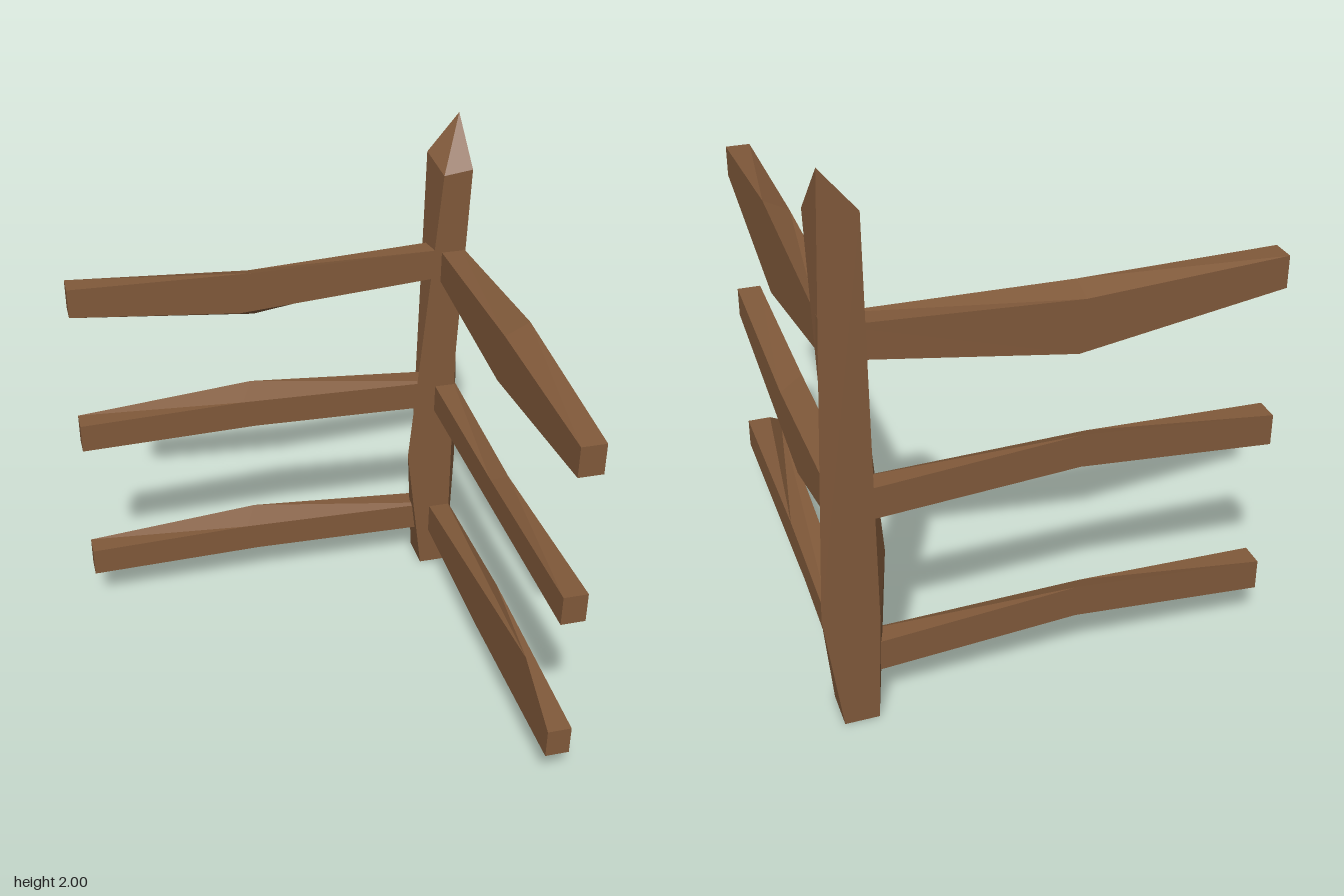
import * as THREE from 'three';

const wood = new THREE.MeshStandardMaterial({ color: 0x80593a });
wood.name = 'brown wood';

// Beam from rings of four corners, each counterclockwise as seen from the last ring's end
function beam(name, rings) {
  const p = [];
  const quad = (a, b, c, d) => p.push(...a, ...b, ...c, ...a, ...c, ...d);
  for (let i = 0; i < rings.length - 1; i++) {
    for (let j = 0; j < 4; j++) {
      const k = (j + 1) % 4;
      quad(rings[i][j], rings[i][k], rings[i + 1][k], rings[i + 1][j]);
    }
  }
  const first = rings[0], last = rings[rings.length - 1];
  quad(first[3], first[2], first[1], first[0]);
  quad(...last);
  const g = new THREE.BufferGeometry();
  g.setAttribute('position', new THREE.Float32BufferAttribute(p, 3));
  g.computeVertexNormals(); // unshared corners keep the facets flat
  const mesh = new THREE.Mesh(g, wood);
  mesh.name = name;
  return mesh;
}

// Rail with square ends; mids = [along, y] for the four bent edges
function rail(name, from, to, y, mids, place) {
  const h = 0.115;
  const end = (t) => [0, 1, 2, 3].map((j) => place(j, t, j < 2 ? y : y + h));
  return beam(name, [end(from), mids.map(([t, my], j) => place(j, t, my)), end(to)]);
}

// Corner order: near bottom, far bottom, far top, near top
const isFar = (j) => j === 1 || j === 2;
const alongX = (j, t, y) => [t, y, isFar(j) ? -0.757 : -0.67];
const alongZ = (j, t, y) => [isFar(j) ? 0.735 : 0.645, y, t];

export function createModel() {
  const group = new THREE.Group();
  group.name = 'cornerFence';

  // Corner post, hewn to a slanted tip
  const F = -0.64, B = -0.783;
  group.add(beam('cornerPost', [
    [[0.615, 0, F], [0.735, 0, F], [0.735, 0, B], [0.615, 0, B]],
    [[0.54, 0.57, F], [0.725, 1.05, F], [0.795, 0.45, B], [0.6, 0.4, B]],
    [[0.64, 1.81, F], [0.752, 1.825, F], [0.735, 2, B], [0.615, 1.855, B]],
  ]));

  // Rails running left to right along the back
  const backRails = [
    ['lowerBackRail', 0.17, [[-0.1, 0.185], [-0.1, 0.225], [-0.1, 0.345], [-0.15, 0.302]]],
    ['middleBackRail', 0.78, [[-0.1, 0.797], [-0.1, 0.835], [-0.1, 0.957], [-0.15, 0.914]]],
    ['upperBackRail', 1.376, [[-0.15, 1.315], [-0.08, 1.26], [-0.1, 1.45], [-0.1, 1.48]]],
  ];
  for (const [name, y, mids] of backRails) group.add(rail(name, -0.8, 0.7, y, mids, alongX));

  // Rails running from the post to the front
  const sideRails = [
    ['lowerSideRail', 0.17, [[0, 0.155], [-0.23, 0.2], [-0.03, 0.315], [0.53, 0.42]]],
    ['middleSideRail', 0.78, [[0, 0.78], [-0.23, 0.66], [0, 0.855], [0.05, 0.885]]],
    ['upperSideRail', 1.378, [[0.04, 1.31], [0.04, 1.23], [0.08, 1.555], [0.08, 1.51]]],
  ];
  for (const [name, y, mids] of sideRails) group.add(rail(name, -0.72, 0.783, y, mids, alongZ));

  return group;
}
